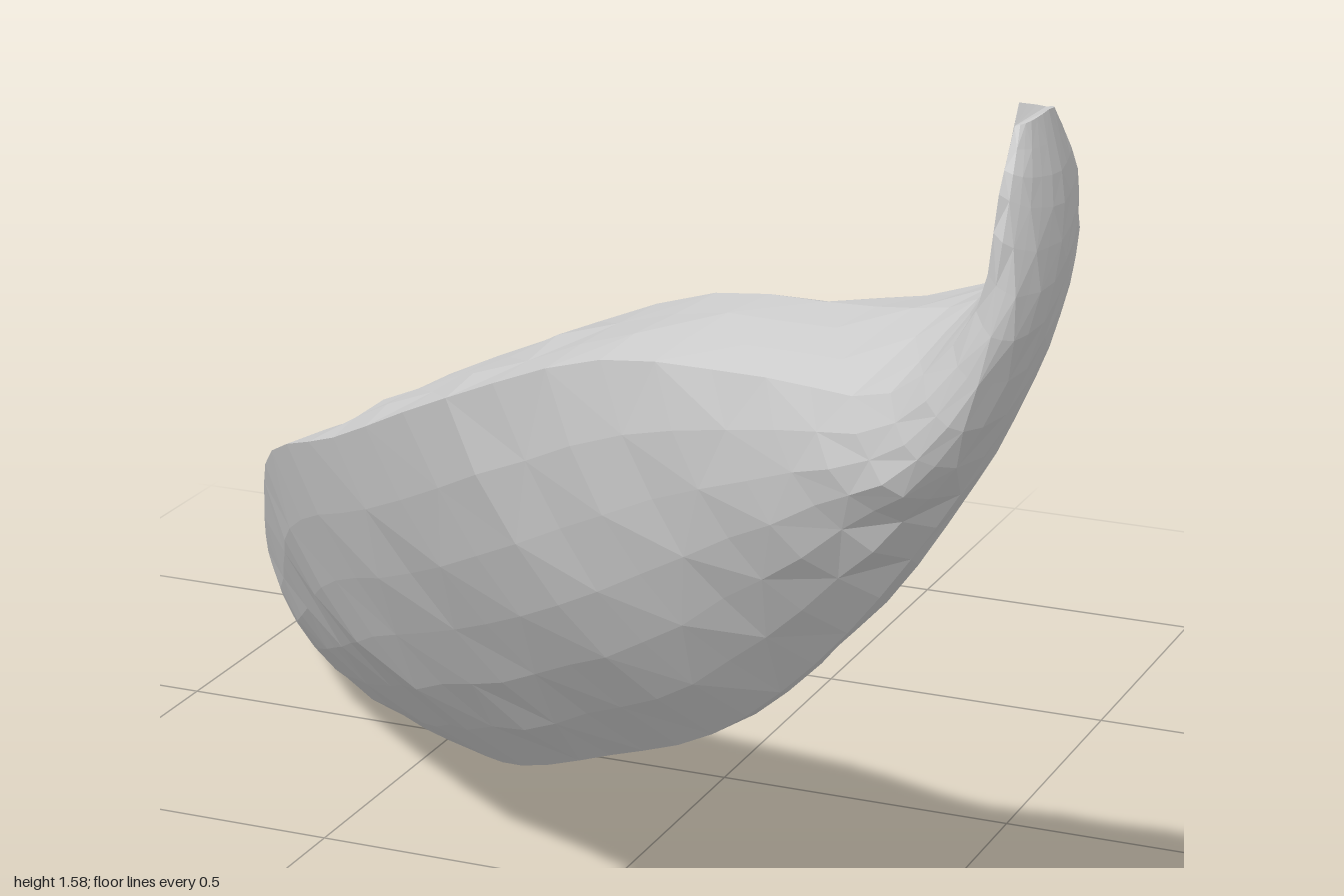
import * as THREE from 'three';

const rail = (pts) => new THREE.CatmullRomCurve3(pts.map((p) => new THREE.Vector3(...p)));

// Four rails run from the pointed tail to the raised tip.
const keel = rail([
  [-0.975, 0.025, -0.905], [-0.78, 0, -0.7], [-0.58, 0.03, -0.47], [-0.34, 0.1, -0.22],
  [-0.15, 0.18, -0.01], [0.1, 0.32, 0.21], [0.36, 0.48, 0.44], [0.59, 0.69, 0.63],
  [0.79, 0.93, 0.8], [0.91, 1.11, 0.865], [0.985, 1.3, 0.86], [0.995, 1.45, 0.82], [0.97, 1.57, 0.82],
]);
const frontEdge = rail([
  [-0.995, 0.05, -0.885], [-0.9, 0.17, -0.64], [-0.79, 0.33, -0.38], [-0.68, 0.51, -0.16],
  [-0.56, 0.67, 0.04], [-0.35, 0.78, 0.24], [-0.05, 0.95, 0.47], [0.26, 1.09, 0.62],
  [0.56, 1.14, 0.75], [0.78, 1.18, 0.865], [0.91, 1.32, 0.91], [0.94, 1.48, 0.92], [0.945, 1.56, 0.88],
]);
const backEdge = rail([
  [-0.945, 0.03, -0.925], [-0.72, 0.1, -0.765], [-0.52, 0.25, -0.54], [-0.33, 0.37, -0.36],
  [-0.15, 0.5, -0.245], [0.08, 0.63, -0.115], [0.34, 0.79, 0.1], [0.59, 1.06, 0.3],
  [0.81, 1.21, 0.45], [0.92, 1.32, 0.55], [0.95, 1.42, 0.635], [0.955, 1.5, 0.71], [0.95, 1.56, 0.77],
]);
const crown = rail([
  [-0.965, 0.055, -0.9], [-0.81, 0.17, -0.7], [-0.64, 0.32, -0.5], [-0.45, 0.5, -0.34],
  [-0.38, 0.66, -0.17], [-0.25, 0.84, 0.14], [0.02, 0.99, 0.27], [0.36, 1.15, 0.44],
  [0.66, 1.21, 0.6], [0.84, 1.27, 0.7], [0.905, 1.37, 0.75], [0.92, 1.48, 0.81], [0.93, 1.575, 0.82],
]);

// Each side of the cross-section: start rail, end rail, outward bulge, divisions.
const sides = [
  [frontEdge, keel, 0.45, 6],
  [keel, backEdge, 0.45, 6],
  [backEdge, crown, 0.06, 3],
  [crown, frontEdge, 0.04, 3],
];

function seeded(seed) {
  return () => {
    seed = (seed * 16807) % 2147483647;
    return seed / 2147483647;
  };
}

function buildHusk(steps) {
  const random = seeded(71);
  const positions = [];
  const index = [];
  const count = sides.reduce((n, s) => n + s[3], 0);

  for (let j = 0; j <= steps; j++) {
    const u = j / steps;
    const centre = new THREE.Vector3();
    for (const [r] of sides) centre.addScaledVector(r.getPoint(u), 0.25);
    for (const [from, to, bulge, n] of sides) {
      const a = from.getPoint(u), b = to.getPoint(u);
      const out = a.clone().add(b).multiplyScalar(0.5).sub(centre);
      for (let i = 0; i < n; i++) {
        const t = i / n;
        const p = a.clone().lerp(b, t).addScaledVector(out, bulge * Math.sin(Math.PI * t) ** 0.85);
        // Small wrinkles, fading out at the rails
        const wrinkle = i === 0 ? 0 : (random() - 0.5) * 0.05;
        p.addScaledVector(p.clone().sub(centre), wrinkle);
        positions.push(p.x, Math.max(p.y, 0), p.z);
      }
    }
  }
  for (let j = 0; j < steps; j++) {
    for (let i = 0; i < count; i++) {
      const k = (i + 1) % count;
      const a = j * count + i, b = j * count + k;
      const c = b + count, d = a + count;
      if ((i + j) % 2) index.push(a, b, d, b, c, d);
      else index.push(a, b, c, a, c, d);
    }
  }
  // Closed ends
  const last = steps * count;
  for (let i = 1; i < count - 1; i++) {
    index.push(0, i + 1, i, last, last + i, last + i + 1);
  }

  const geometry = new THREE.BufferGeometry();
  geometry.setAttribute('position', new THREE.Float32BufferAttribute(positions, 3));
  geometry.setIndex(index);
  geometry.computeVertexNormals();
  return geometry;
}

export function createModel() {
  const group = new THREE.Group();
  group.name = 'curvedHusk';
  const paleGrey = new THREE.MeshStandardMaterial({ color: 0xcccccc, flatShading: true });
  paleGrey.name = 'paleGrey';
  const husk = new THREE.Mesh(buildHusk(36), paleGrey);
  husk.name = 'husk';
  group.add(husk);
  return group;
}
